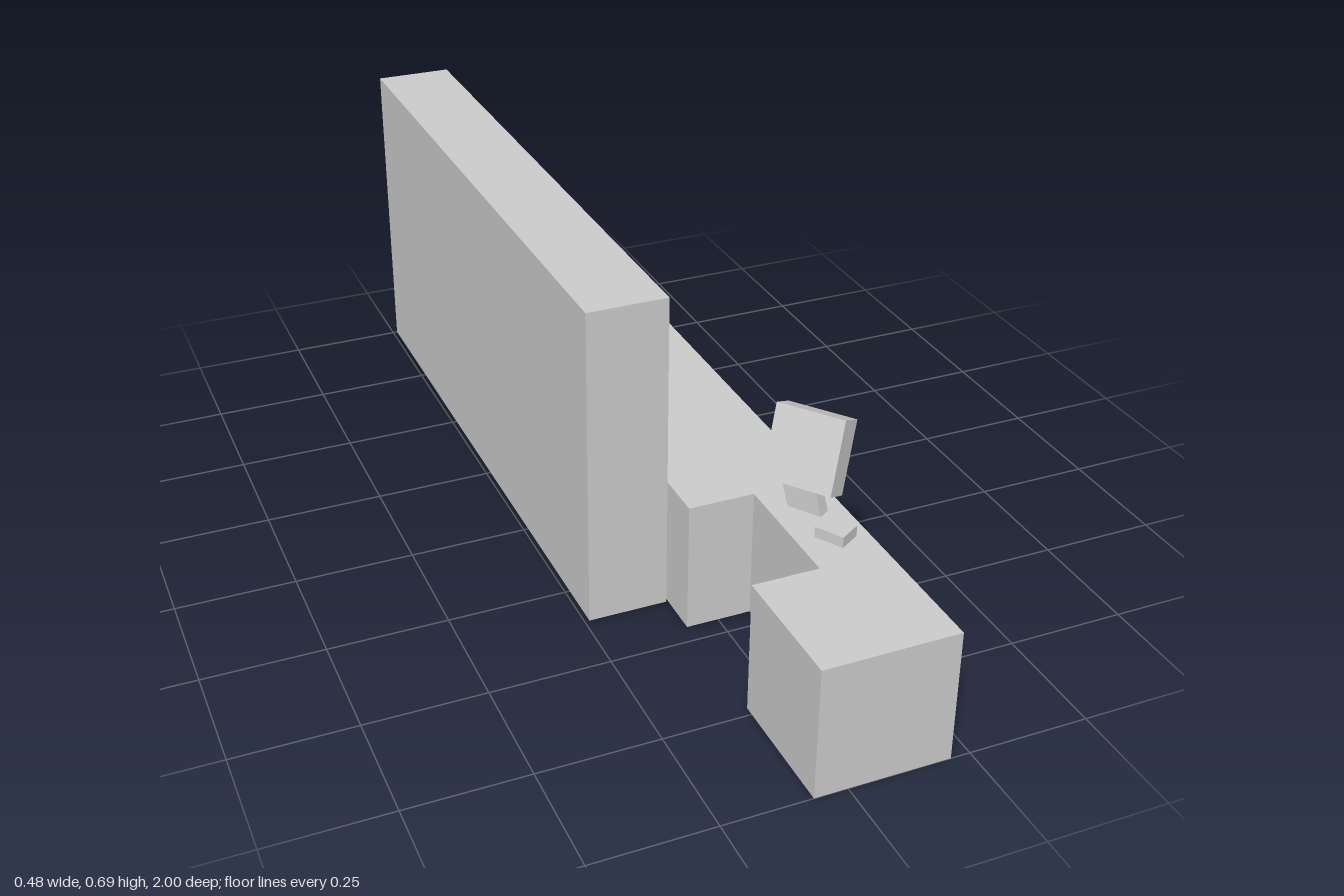
import * as THREE from 'three';

const grey = new THREE.MeshStandardMaterial({ color: 0xcccccc, flatShading: true });

function add(parent, name, geometry) {
  const mesh = new THREE.Mesh(geometry, grey);
  mesh.name = name;
  parent.add(mesh);
  return mesh;
}

function outline(points, Type = THREE.Shape) {
  return new Type(points.map(([a, b]) => new THREE.Vector2(a, b)));
}

const rect = (a0, a1, b0, b1) => [[a0, b0], [a1, b0], [a1, b1], [a0, b1]];

// Box whose width runs roughly along `across` and whose height runs along `up`
function orientedBox(parent, name, size, center, across, up) {
  const y = new THREE.Vector3(...up).normalize();
  const z = new THREE.Vector3(...across).cross(y).normalize();
  const x = new THREE.Vector3().crossVectors(y, z);
  const mesh = add(parent, name, new THREE.BoxGeometry(...size));
  mesh.quaternion.setFromRotationMatrix(new THREE.Matrix4().makeBasis(x, y, z));
  mesh.position.set(...center);
  return mesh;
}

export function createModel() {
  const model = new THREE.Group();

  // Counter with a notch cut into its back edge
  const counterShape = outline([
    [-0.068, -1], [0.21, -1], [0.21, 1], [-0.068, 1],
    [-0.068, 0.73], [0.07, 0.73], [0.07, 0.455], [-0.068, 0.455],
  ]);
  const counter = add(model, 'counter',
    new THREE.ExtrudeGeometry(counterShape, { depth: 0.28, bevelEnabled: false }));
  counter.rotation.x = Math.PI / 2;
  counter.position.y = 0.28;

  // Tall shelf unit: a frame with three niches, closed by a back panel
  const shelf = new THREE.Group();
  shelf.name = 'shelfUnit';
  model.add(shelf);
  const frameShape = outline(rect(-1, 0.36, 0, 0.69));
  const niches = [
    [-0.96, 0.328, 0.555, 0.667],
    [-0.95, 0.317, 0.41, 0.517],
    [-0.955, 0.323, 0.27, 0.378],
  ];
  for (const n of niches) frameShape.holes.push(outline(rect(...n), THREE.Path));
  const frame = add(shelf, 'shelfFrame',
    new THREE.ExtrudeGeometry(frameShape, { depth: 0.13, bevelEnabled: false }));
  frame.rotation.y = -Math.PI / 2;
  frame.position.x = -0.072;
  const back = add(shelf, 'shelfBack', new THREE.BoxGeometry(0.038, 0.69, 1.36));
  back.position.set(-0.221, 0.345, -0.32);

  // Tilted monitor on a leaning neck
  const monitor = new THREE.Group();
  monitor.name = 'monitor';
  model.add(monitor);
  const across = [0.083, 0.009, 0.125];
  orientedBox(monitor, 'screen', [0.15, 0.15, 0.049],
    [0.158, 0.392, 0.508], across, [0.044, 0.139, -0.036]);
  orientedBox(monitor, 'neck', [0.07, 0.08, 0.028],
    [0.14, 0.30, 0.536], across, [-0.15, 0.96, -0.22]);

  // Small card reader beside the monitor
  orientedBox(model, 'cardReader', [0.062, 0.023, 0.05],
    [0.146, 0.2915, 0.648], [0.032, 0, 0.053], [0, 1, 0]);

  // The frame extrudes towards -x, so check it lies in front of the back panel
  frame.position.x = -0.072;
  return model;
}
